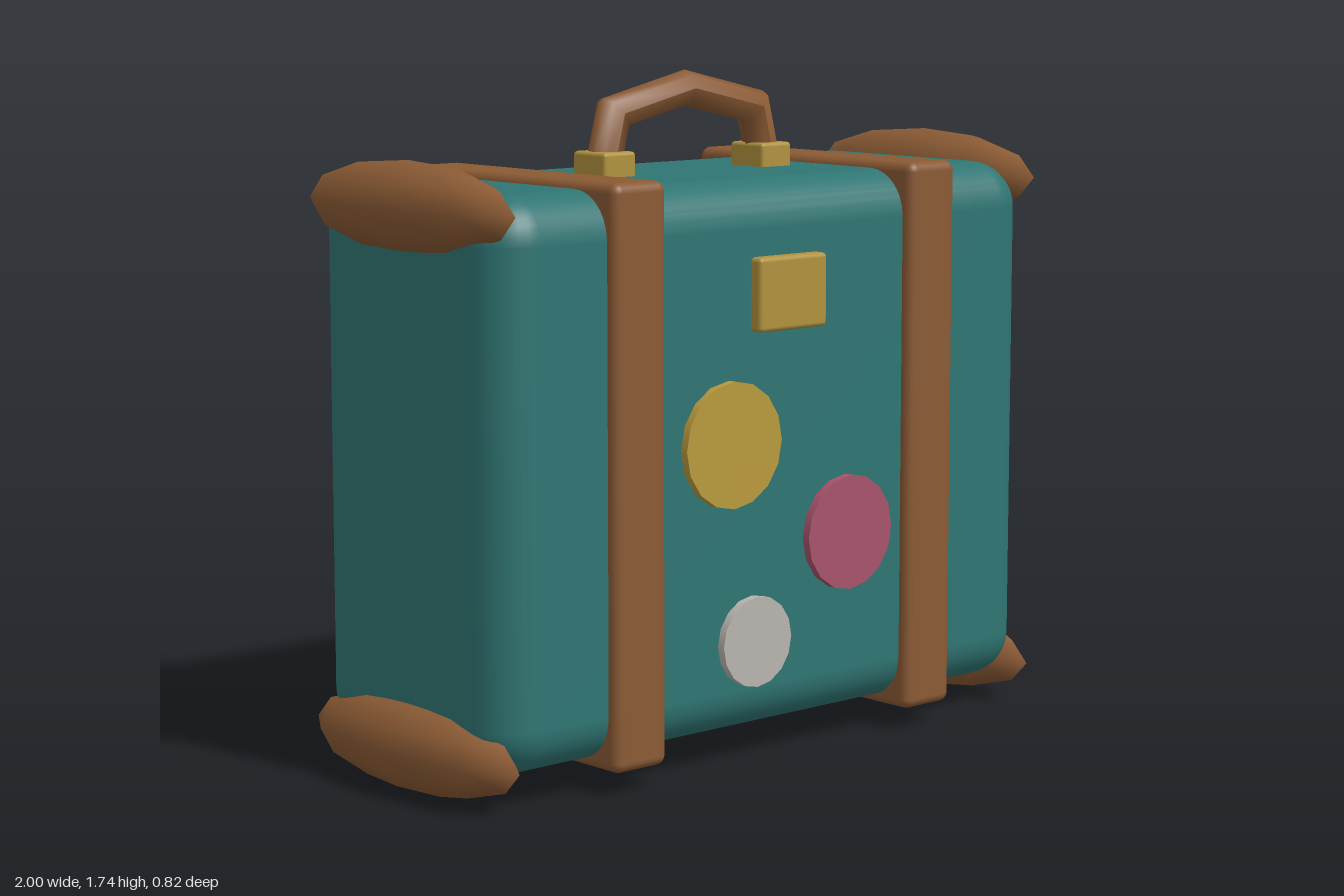
import * as THREE from 'three';
import { RoundedBoxGeometry } from 'three/addons/geometries/RoundedBoxGeometry.js';

const Z = -0.007; // depth centre of the case
const paint = (color) => new THREE.MeshStandardMaterial({ color });

export function createModel() {
  const group = new THREE.Group();
  const teal = paint(0x2f7573);
  const leather = paint(0x8a5a34);
  const brass = paint(0xb0923e);

  const add = (name, geometry, material, x, y, z) => {
    const mesh = new THREE.Mesh(geometry, material);
    mesh.name = name;
    mesh.position.set(x, y, z);
    group.add(mesh);
    return mesh;
  };

  // Case
  add('caseBody', new RoundedBoxGeometry(1.82, 1.4, 0.755, 4, 0.12), teal, 0, 0.78, Z);

  for (const side of [-1, 1]) {
    const label = side > 0 ? 'left' : 'right';

    // Strap wrapped round the case
    add(label + 'Strap', new RoundedBoxGeometry(0.168, 1.44, 0.815, 3, 0.025),
      leather, side * 0.502, 0.78, Z);

    // Long padded corner guards
    for (const [end, y] of [['Bottom', 0.115], ['Top', 1.438]]) {
      const guard = add(label + end + 'CornerGuard', new THREE.SphereGeometry(0.112, 8, 6),
        leather, side * 0.888, y, Z);
      guard.scale.z = 0.405 / 0.112;
    }

    // Handle mount
    add(label + 'HandleMount', new RoundedBoxGeometry(0.105, 0.09, 0.125, 2, 0.01),
      brass, side * 0.27, 1.497, Z);
  }

  add('handle', handleGeometry(), leather, 0, 0, Z);

  // Lock plate
  add('lockPlate', new RoundedBoxGeometry(0.232, 0.187, 0.05, 2, 0.012), brass, 0, 1.198, 0.38);

  // Round travel stickers
  const stickers = [
    ['yellowSticker', -0.19, 0.83, 0.16, 0xb89a3c],
    ['pinkSticker', 0.215, 0.562, 0.149, 0xa8536b],
    ['whiteSticker', -0.11, 0.322, 0.116, 0xb8b4ae],
  ];
  for (const [name, x, y, r, color] of stickers) {
    const disc = new THREE.CylinderGeometry(r, r, 0.025, 16).rotateX(Math.PI / 2);
    add(name, disc, paint(color), x, y, 0.38);
  }
  return group;
}

// Bent grip: a cylinder whose rings are mitred along a five-point path
function handleGeometry() {
  const path = [[0.278, 1.49], [0.24, 1.637], [0, 1.692], [-0.24, 1.637], [-0.278, 1.49]]
    .map(([x, y]) => new THREE.Vector2(x, y));
  const last = path.length - 1;
  const direction = (i) => path[i + 1].clone().sub(path[i]).normalize();
  const radius = 0.045;
  const geometry = new THREE.CylinderGeometry(1, 1, last, 8, last);
  const p = geometry.attributes.position;
  for (let k = 0; k < p.count; k++) {
    const i = Math.round(p.getY(k) + last / 2);
    const before = direction(Math.max(i - 1, 0));
    const after = direction(Math.min(i, last - 1));
    const tangent = before.clone().add(after).normalize();
    const across = p.getX(k) * radius / tangent.dot(after);
    p.setXYZ(k, path[i].x + tangent.y * across, path[i].y - tangent.x * across, p.getZ(k) * radius);
  }
  geometry.computeVertexNormals();
  return geometry;
}
